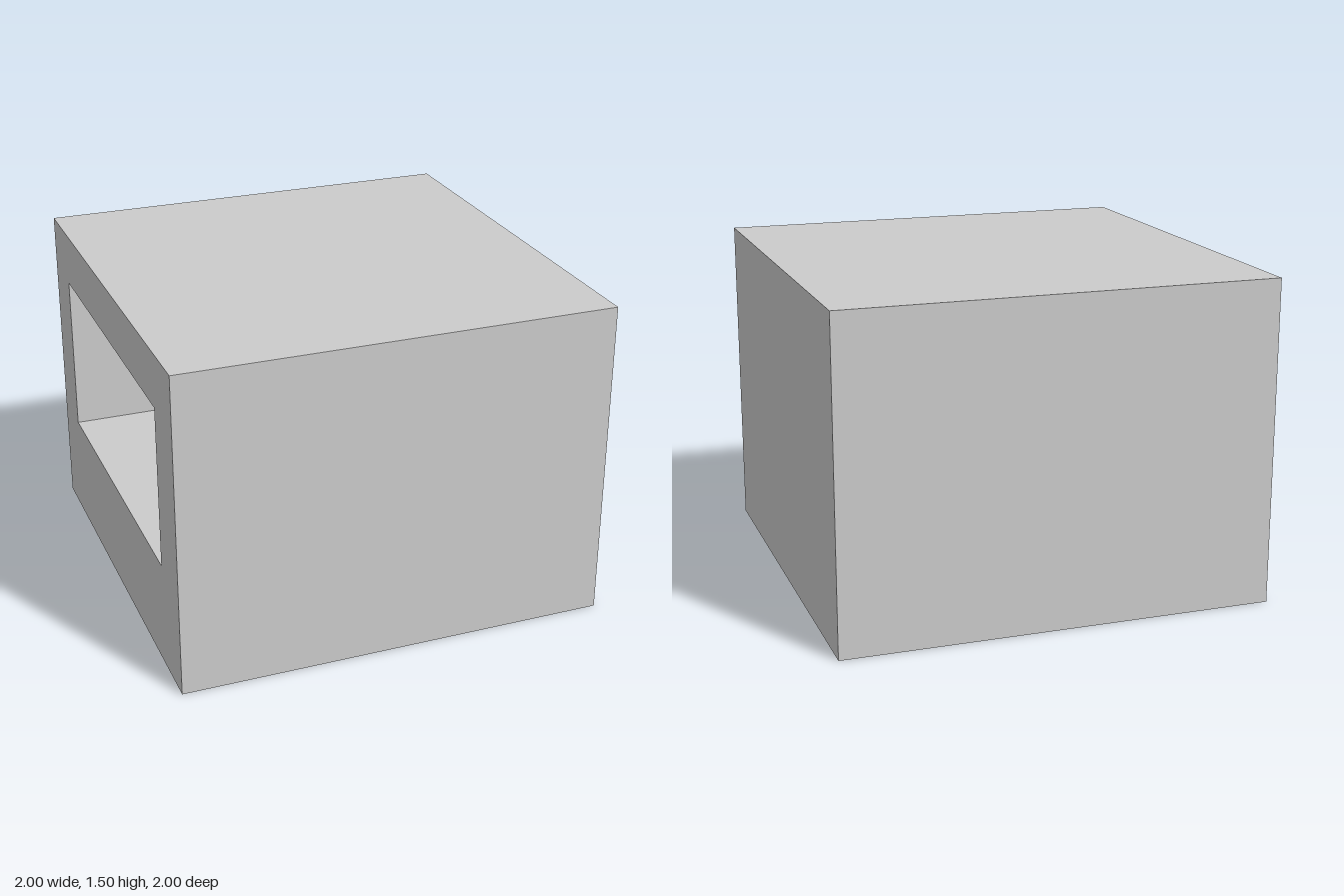
import * as THREE from 'three';

const WIDTH = 2, HEIGHT = 1.5, DEPTH = 2, WALL = 0.25, SILL = 0.5;

// Rectangle outline centred on x, from y0 to y1
function rectangle(Type, halfWidth, y0, y1) {
  const path = new Type();
  path.moveTo(-halfWidth, y0);
  path.lineTo(halfWidth, y0);
  path.lineTo(halfWidth, y1);
  path.lineTo(-halfWidth, y1);
  path.closePath();
  return path;
}

export function createModel() {
  const group = new THREE.Group();
  group.name = 'openBox';
  const material = new THREE.MeshStandardMaterial({ color: 0xcccccc, flatShading: true });

  // Sleeve: floor, roof and two walls around the compartment, open towards -x
  const outline = rectangle(THREE.Shape, DEPTH / 2, 0, HEIGHT);
  outline.holes.push(rectangle(THREE.Path, DEPTH / 2 - WALL, SILL, HEIGHT - WALL));
  const sleeveGeometry = new THREE.ExtrudeGeometry(outline, { depth: WIDTH - WALL, bevelEnabled: false });
  sleeveGeometry.rotateY(Math.PI / 2).translate(-WIDTH / 2, 0, 0);
  const sleeve = new THREE.Mesh(sleeveGeometry, material);
  sleeve.name = 'compartmentSleeve';
  group.add(sleeve);

  // Panel closing the compartment on the +x side
  const panel = new THREE.Mesh(new THREE.BoxGeometry(WALL, HEIGHT, DEPTH), material);
  panel.position.set(WIDTH / 2 - WALL / 2, HEIGHT / 2, 0);
  panel.name = 'closingPanel';
  group.add(panel);

  return group;
}
